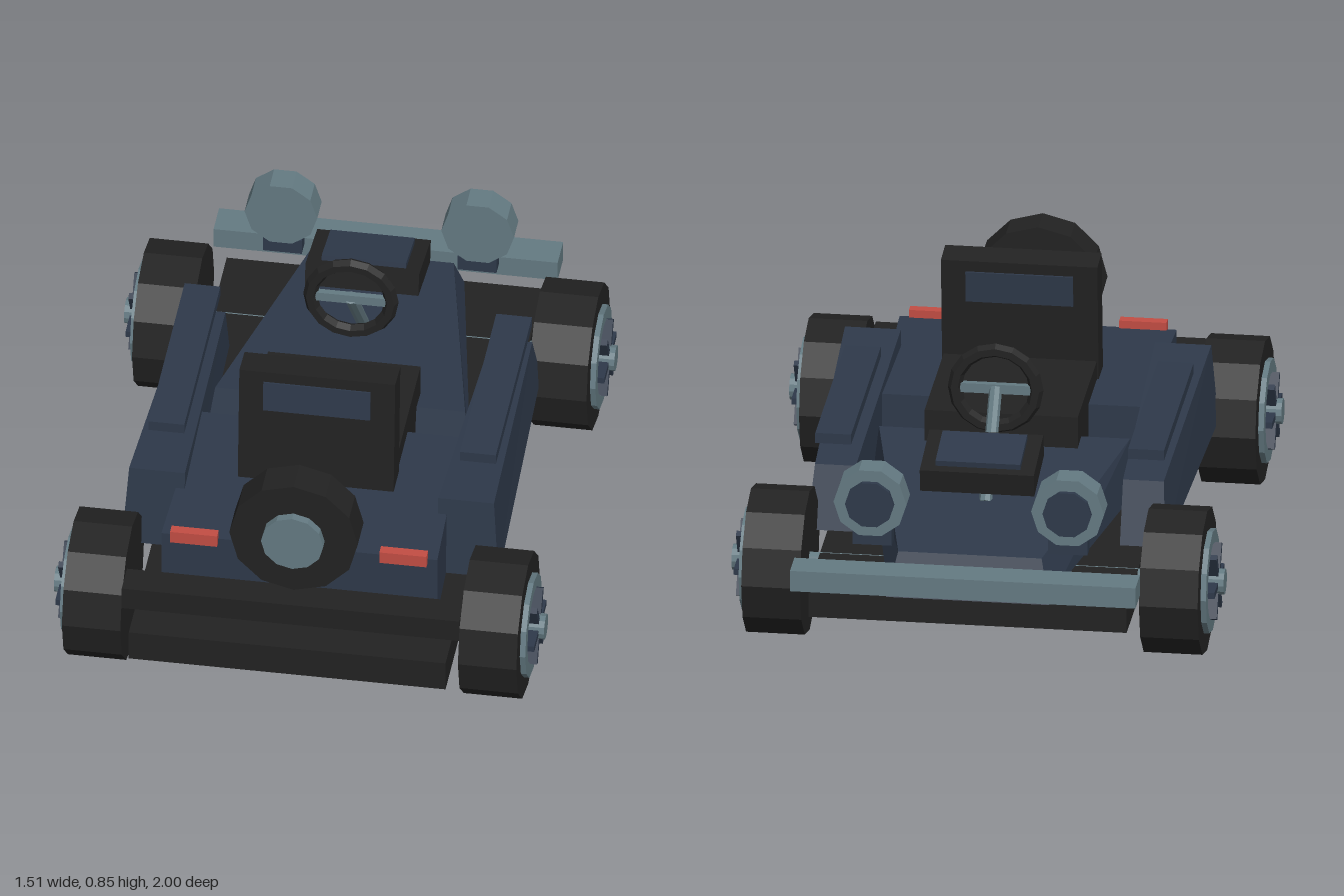
import * as THREE from 'three';

const mat = (name, color) => {
  const m = new THREE.MeshStandardMaterial({ color });
  m.name = name;
  return m;
};

export function createModel() {
  const car = new THREE.Group();
  car.name = 'buggy';
  const navy = mat('navy paint', 0x2e394a);
  const black = mat('black rubber', 0x222222);
  const steel = mat('blue grey steel', 0x647a82);
  const red = mat('red lamp', 0xc24d43);

  // Faceted mesh helper
  const add = (name, geo, material, pos = [0, 0, 0], parent = car) => {
    const g = geo.index ? geo.toNonIndexed() : geo;
    g.computeVertexNormals();
    const mesh = new THREE.Mesh(g, material);
    mesh.name = name;
    mesh.position.set(...pos);
    parent.add(mesh);
    return mesh;
  };
  // Box given by its ranges
  const box = (name, material, [x0, x1], [y0, y1], [z0, z1], parent = car) =>
    add(name, new THREE.BoxGeometry(x1 - x0, y1 - y0, z1 - z0), material,
      [(x0 + x1) / 2, (y0 + y1) / 2, (z0 + z1) / 2], parent);
  // Box whose corners are placed by a rule of their signs
  const hexa = (name, material, rule) => {
    const geo = new THREE.BoxGeometry(2, 2, 2);
    const p = geo.attributes.position;
    for (let i = 0; i < p.count; i++) p.setXYZ(i, ...rule(p.getX(i), p.getY(i), p.getZ(i)));
    return add(name, geo, material);
  };
  const cylX = (r, len, n = 12) => new THREE.CylinderGeometry(r, r, len, n).rotateZ(-Math.PI / 2);
  const cylZ = (r, len, n = 12, turn = 0) =>
    new THREE.CylinderGeometry(r, r, len, n).rotateY(turn).rotateX(Math.PI / 2);

  // Chassis and bumpers
  box('chassis', black, [-0.488, 0.488], [0.16, 0.26], [-0.885, 1]);
  box('tailBumper', black, [-0.52, 0.52], [0.3, 0.375], [0.835, 0.935]);
  box('noseBumper', steel, [-0.53, 0.53], [0.29, 0.357], [-1, -0.895]);

  // Rear body and tapered nose
  hexa('rearBody', navy, (x, y, z) =>
    [x * (z > 0 ? 0.425 : 0.405), y > 0 ? 0.47 : 0.262, z > 0 ? 0.765 : 0.15]);
  hexa('nose', navy, (x, y, z) => z > 0
    ? [x * (y > 0 ? 0.385 : 0.41), y > 0 ? 0.435 : 0.262, y > 0 ? -0.02 : 0.03]
    : [x * (y > 0 ? 0.22 : 0.25), y > 0 ? 0.368 : 0.24, y > 0 ? -0.83 : -0.888]);

  // Side pods, rails, lamps
  for (const s of [1, -1]) {
    hexa('sidePod', navy, (x, y, z) => {
      const outer = x * s > 0, top = y > 0;
      return z > 0
        ? [s * (outer ? (top ? 0.562 : 0.58) : 0.39), top ? 0.525 : 0.264, top ? 0.53 : 0.56]
        : [s * (outer ? (top ? 0.535 : 0.55) : 0.41), top ? 0.45 : 0.264, top ? -0.375 : -0.45];
    });
    const xs = (a, b) => (s > 0 ? [a, b] : [-b, -a]);
    box('sideRail', navy, xs(0.425, 0.535), [0.517, 0.55], [-0.37, 0.325]);
    box('tailLight', red, xs(0.25, 0.395), [0.455, 0.495], [0.755, 0.787]);
    box('headlightMount', navy, xs(0.24, 0.36), [0.385, 0.435], [-0.83, -0.78]);
    add('headlight', cylZ(0.112, 0.085, 10, Math.PI / 10), steel, [s * 0.303, 0.533, -0.815]);
    add('headlightLens', cylZ(0.075, 0.02, 10, Math.PI / 10), navy, [s * 0.303, 0.533, -0.863]);
  }

  // Seat with padded headrest
  box('seatBase', black, [-0.235, 0.235], [0.34, 0.53], [-0.1, 0.4]);
  const back = new THREE.Group();
  back.name = 'seatBack';
  back.position.set(0, 0.42, 0.405);
  back.rotation.x = -0.08;
  car.add(back);
  box('backrest', black, [-0.24, 0.24], [0, 0.435], [-0.05, 0.05], back);
  box('headrestPad', navy, [-0.165, 0.165], [0.3, 0.4], [-0.056, 0.056], back);

  // Spare wheel
  add('spareTyre', cylZ(0.198, 0.112), black, [0, 0.587, 0.821]);
  add('spareHub', cylZ(0.096, 0.03), steel, [0, 0.587, 0.89]);

  // Steering wheel and column
  add('steeringWheel', new THREE.TorusGeometry(0.125, 0.022, 6, 16), black, [0, 0.668, -0.228]);
  box('steeringSpoke', steel, [-0.12, 0.12], [0.653, 0.683], [-0.238, -0.218]);
  const from = new THREE.Vector3(0, 0.668, -0.228), to = new THREE.Vector3(0, 0.39, -0.465);
  const column = add('steeringColumn', new THREE.CylinderGeometry(0.02, 0.02, from.distanceTo(to), 8),
    steel, from.clone().add(to).multiplyScalar(0.5).toArray());
  column.quaternion.setFromUnitVectors(new THREE.Vector3(0, 1, 0), from.clone().sub(to).normalize());

  // Tilted instrument box
  const dash = new THREE.Group();
  dash.name = 'instrumentBox';
  dash.position.set(0, 0.556, -0.552);
  dash.rotation.x = -0.18;
  car.add(dash);
  box('instrumentCase', black, [-0.175, 0.175], [-0.037, 0.037], [-0.115, 0.115], dash);
  box('instrumentPlate', navy, [-0.13, 0.13], [0.037, 0.055], [-0.085, 0.085], dash);

  // Axles and wheels
  const ring = new THREE.Shape();
  const hole = new THREE.Path();
  for (let i = 0; i < 12; i++) {
    const a = i * Math.PI / 6, c = Math.cos(a), d = Math.sin(a);
    i ? ring.lineTo(c * 0.162, d * 0.162) : ring.moveTo(c * 0.162, 0);
    i ? hole.lineTo(c * 0.12, d * 0.12) : hole.moveTo(c * 0.12, 0);
  }
  ring.closePath();
  hole.closePath();
  ring.holes.push(hole);
  for (const z of [0.735, -0.615]) {
    add('axle', cylX(0.026, 1.2, 8), steel, [0, 0.235, z]);
    for (const s of [1, -1]) {
      const wheel = new THREE.Group();
      wheel.name = 'wheel';
      wheel.position.set(s * 0.61, 0.232, z);
      wheel.rotation.y = s > 0 ? 0 : Math.PI;
      car.add(wheel);
      add('tyre', cylX(0.228, 0.18), black, [0, 0, 0], wheel);
      const rim = new THREE.ExtrudeGeometry(ring, { depth: 0.025, bevelEnabled: false }).rotateY(Math.PI / 2);
      add('rim', rim, steel, [0.082, 0, 0], wheel);
      for (let i = 0; i < 6; i++) {
        const spoke = new THREE.BoxGeometry(0.035, 0.118, 0.02).translate(0.11, 0.059, 0);
        add('spoke', spoke.rotateX(i * Math.PI / 3 + Math.PI / 6), navy, [0, 0, 0], wheel);
      }
      add('hub', cylX(0.04, 0.06), steel, [0.115, 0, 0], wheel);
    }
  }
  return car;
}
